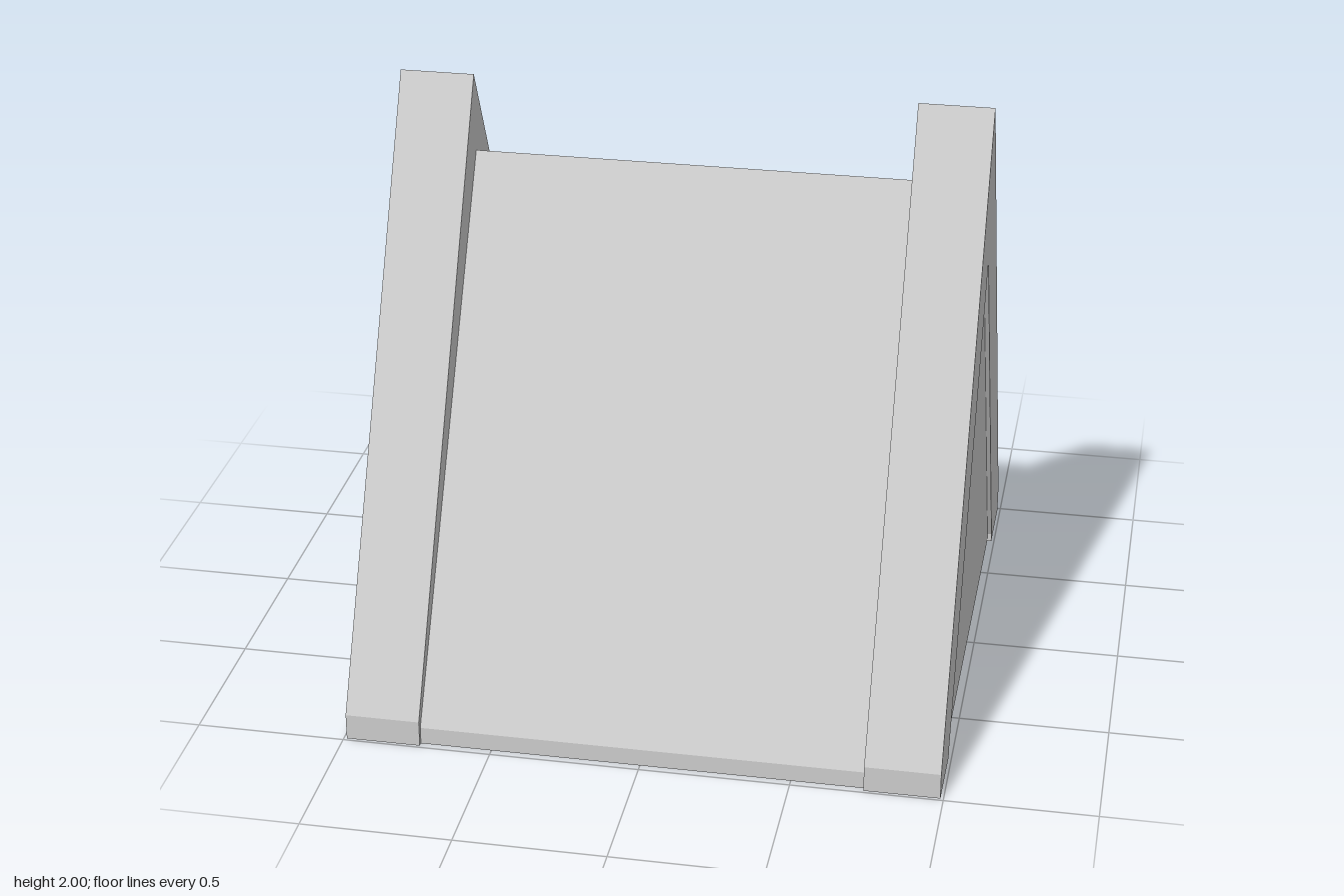
import * as THREE from 'three';

const material = new THREE.MeshStandardMaterial({ color: 0xcccccc, flatShading: true });

// Gable outline (half width, eave height, peak height) drawn in the z-y plane
const gable = (w, eave, peak) => [[-w, 0], [w, 0], [w, eave], [0, peak], [-w, eave]];

// Extrude a z-y outline along x, from x0 to x1
function prism(name, points, x0, x1) {
  const shape = new THREE.Shape(points.map(([z, y]) => new THREE.Vector2(-z, y)));
  const geometry = new THREE.ExtrudeGeometry(shape, { depth: x1 - x0, bevelEnabled: false });
  geometry.rotateY(Math.PI / 2).translate(x0, 0, 0);
  const mesh = new THREE.Mesh(geometry, material);
  mesh.name = name;
  return mesh;
}

export function createModel() {
  const group = new THREE.Group();
  group.name = 'tent';

  // Main sloped body between the two end frames
  group.add(prism('roofBody', gable(0.975, 0.06, 1.73), -0.74, 0.74));

  // End frames: a gable with a smaller gable cut out of its base
  const frame = [
    [-0.99, 0], [-0.74, 0], [-0.74, 0.03], [0, 1.46], [0.74, 0.03], [0.74, 0],
    [0.99, 0], [0.99, 0.09], [0, 2], [-0.99, 0.09],
  ];
  const inset = 0.015;
  for (const [side, s] of [['left', 1], ['right', -1]]) {
    const inner = 0.74 * s, outer = 0.99 * s, panel = (0.99 - inset) * s;
    group.add(prism(side + 'EndFrame', frame, Math.min(inner, outer), Math.max(inner, outer)));
    // Slightly recessed end panel filling the opening
    group.add(prism(side + 'EndPanel', gable(0.74, 0.03, 1.46), Math.min(inner, panel), Math.max(inner, panel)));
  }
  return group;
}
